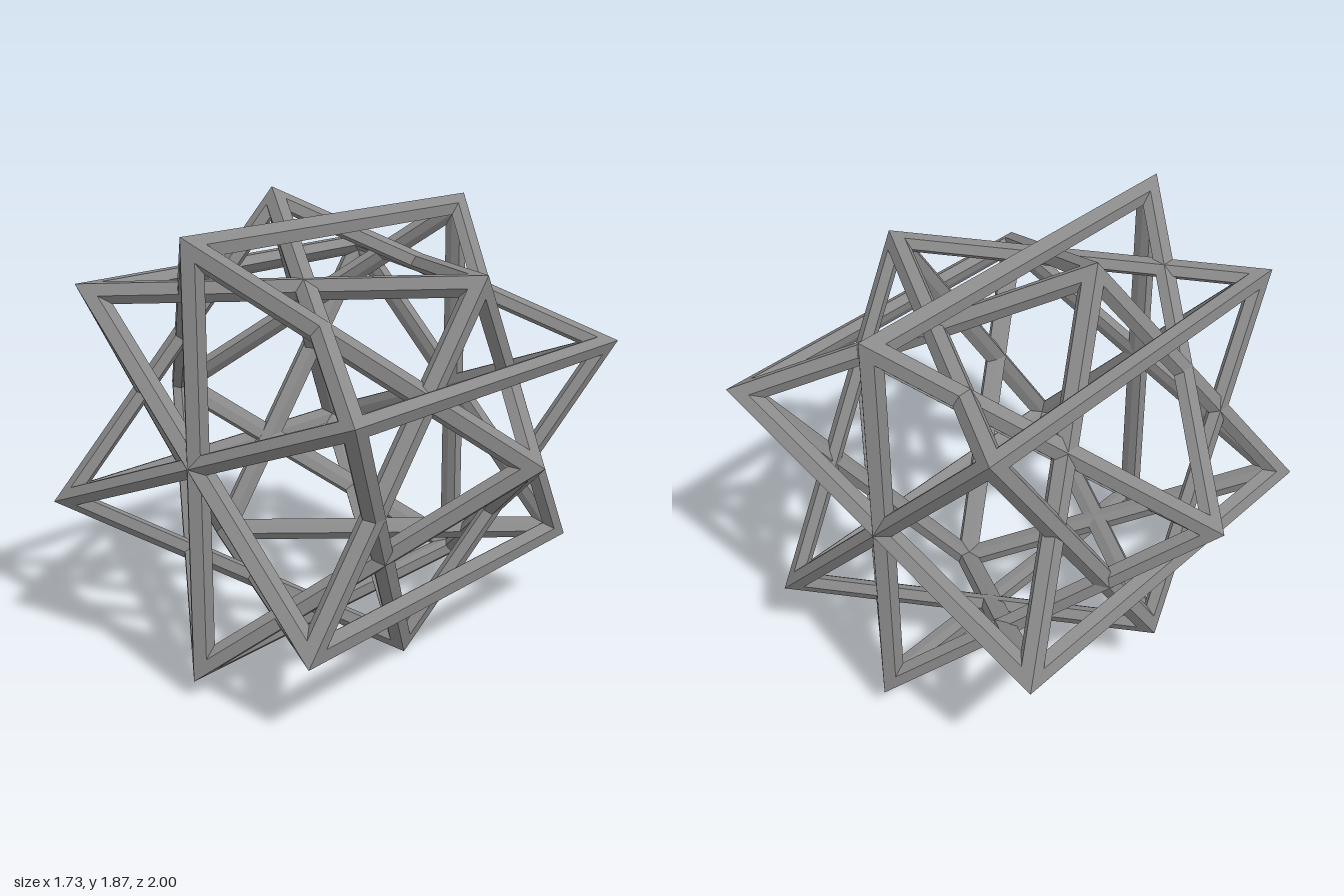
import * as THREE from 'three';

const HALF = 0.858;   // half side of the square girdle
const APEX = 1.0;     // distance of the two tips
const INSET = 0.107;  // bar width as a share of the face
const WALL = 0.055;   // depth of the bars' side walls
const INNER = 0.9;    // scale of the inner ridges

// Open octahedron frame: ridged bars with straight side walls and mitred corners.
function frameGeometry() {
  const v = (x, y, z) => new THREE.Vector3(x, y, z);
  const girdle = [
    v(HALF, HALF, 0), v(-HALF, HALF, 0), v(-HALF, -HALF, 0),
    v(HALF + 0.014, -HALF + 0.018, 0), // this corner is slightly off square
  ];
  const positions = [];
  const quad = (a, b, c, d) => {
    for (const p of [a, b, c, a, c, d]) positions.push(p.x, p.y, p.z);
  };

  for (const side of [1, -1]) {
    for (let i = 0; i < 4; i++) {
      const p = girdle[i], q = girdle[(i + 1) % 4], tip = v(0, 0, side * APEX);
      const face = side > 0 ? [p, q, tip] : [q, p, tip];
      // incentre, so the opening is inset evenly from all three edges
      const len = face.map((_, k) => face[(k + 1) % 3].distanceTo(face[(k + 2) % 3]));
      const centre = v(0, 0, 0);
      face.forEach((c, k) => centre.addScaledVector(c, len[k] / (len[0] + len[1] + len[2])));
      const opening = face.map((c) => c.clone().lerp(centre, INSET));
      const deep = opening.map((c, k) => c.clone().addScaledVector(face[k], -WALL));
      const inner = face.map((c) => c.clone().multiplyScalar(INNER));
      // outer facet, side wall and inner facet of each bar
      const rings = [face, opening, deep, inner];
      for (let r = 0; r < 3; r++) {
        for (let k = 0; k < 3; k++) {
          const n = (k + 1) % 3;
          quad(rings[r][k], rings[r][n], rings[r + 1][n], rings[r + 1][k]);
        }
      }
    }
  }
  const geometry = new THREE.BufferGeometry();
  geometry.setAttribute('position', new THREE.Float32BufferAttribute(positions, 3));
  geometry.computeVertexNormals();
  return geometry;
}

export function createModel() {
  const group = new THREE.Group();
  group.name = 'interlockedOctahedronFrames';
  const geometry = frameGeometry();
  const material = new THREE.MeshStandardMaterial({ color: 0x8a8a8a, flatShading: true });

  // Three equal frames turned about the shared x axis
  const turns = { uprightFrame: 0, forwardFrame: 69, backwardFrame: -43.6 };
  for (const [name, degrees] of Object.entries(turns)) {
    const frame = new THREE.Mesh(geometry, material);
    frame.name = name;
    frame.rotation.x = THREE.MathUtils.degToRad(degrees);
    frame.position.set(-0.007, 0.933, 0);
    group.add(frame);
  }
  return group;
}
